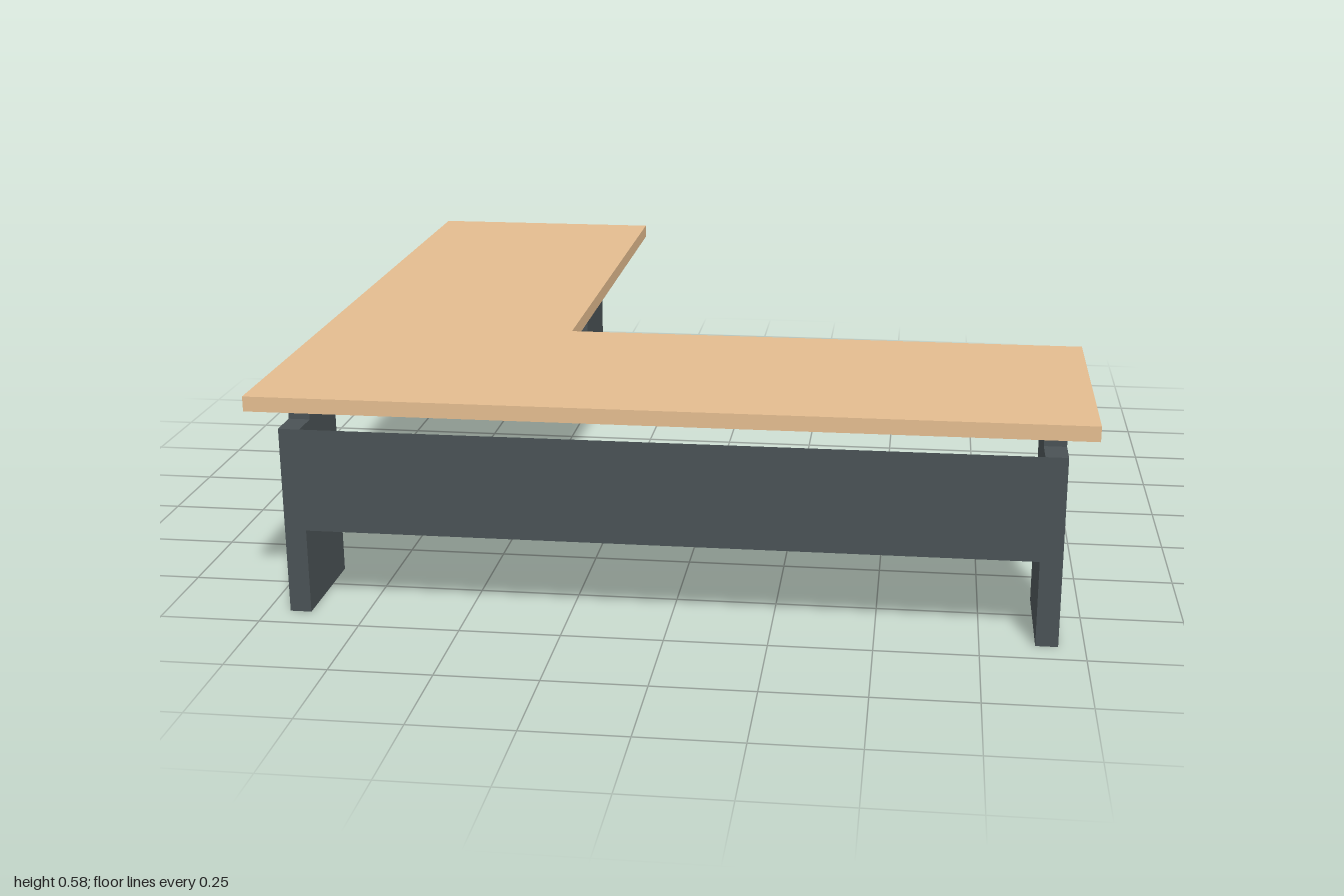
import * as THREE from 'three';

// Every part is an open shell, so both sides show
const wood = new THREE.MeshStandardMaterial({ color: 0xe3bc8f, side: THREE.DoubleSide });
wood.name = 'light wood';
const metal = new THREE.MeshStandardMaterial({ color: 0x4a5255, side: THREE.DoubleSide });
metal.name = 'slate grey';

const BODY = 0.475; // top of legs, panel and pedestal
const UNDER = 0.539; // lower rim of the desktop
const TOP = 0.576;

// Bottomless box given by its limits on each axis, with or without a lid
function shell(name, [x0, x1], [y0, y1], [z0, z1], lid) {
  const geometry = new THREE.BoxGeometry(x1 - x0, y1 - y0, z1 - z0);
  // Box faces come in the order +x, -x, +y, -y, +z, -z, six indices each
  const kept = Array.from(geometry.index.array).filter((_, i) => {
    const face = Math.floor(i / 6);
    return face !== 3 && (lid || face !== 2);
  });
  geometry.setIndex(kept);
  geometry.clearGroups();
  const mesh = new THREE.Mesh(geometry, metal);
  mesh.position.set((x0 + x1) / 2, (y0 + y1) / 2, (z0 + z1) / 2);
  mesh.name = name;
  return mesh;
}

// Body with a narrower neck reaching up to the desktop
function support(name, x, z, neckX, neckZ) {
  const group = new THREE.Group();
  group.name = name;
  group.add(
    shell(name + 'Body', x, [0, BODY], z, true),
    shell(name + 'Neck', neckX, [BODY, TOP - 0.001], neckZ, false),
  );
  return group;
}

// L-shaped top sheet with a rim turned down along every edge
function makeDesktop() {
  const group = new THREE.Group();
  group.name = 'desktop';
  // Plan outline, counter-clockwise, with shape y as -z
  const corners = [
    [-1, -1], [1, -1], [1, -0.333], [-0.333, -0.333], [-0.333, 1], [-1, 1],
  ].map(([x, y]) => new THREE.Vector2(x, y));

  const sheet = new THREE.Mesh(new THREE.ShapeGeometry(new THREE.Shape(corners)), wood);
  sheet.name = 'desktopSheet';
  sheet.rotation.x = -Math.PI / 2;
  sheet.position.y = TOP;
  group.add(sheet);

  corners.forEach((a, i) => {
    const b = corners[(i + 1) % corners.length];
    const rim = new THREE.Mesh(new THREE.PlaneGeometry(a.distanceTo(b), TOP - UNDER), wood);
    rim.name = 'desktopRim';
    rim.position.set((a.x + b.x) / 2, (TOP + UNDER) / 2, -(a.y + b.y) / 2);
    rim.rotation.y = Math.atan2(b.y - a.y, b.x - a.x);
    group.add(rim);
  });
  return group;
}

export function createModel() {
  const desk = new THREE.Group();
  desk.name = 'cornerDesk';
  desk.add(makeDesktop());

  // Slab legs
  for (const [name, x] of [['rightLeg', [-0.943, -0.89]], ['leftLeg', [0.883, 0.937]]]) {
    desk.add(support(name, x, [0.649, 0.93], x, [0.73, 0.85]));
  }

  // Sheet panel flush with the front of the legs
  const panel = new THREE.Mesh(new THREE.PlaneGeometry(1.773, BODY - 0.215), metal);
  panel.name = 'modestyPanel';
  panel.position.set(-0.0035, (BODY + 0.215) / 2, 0.93);
  desk.add(panel);

  // Storage pedestal carrying the return
  desk.add(support('pedestal', [-0.943, -0.472], [-0.935, -0.652], [-0.82, -0.598], [-0.858, -0.73]));

  return desk;
}
